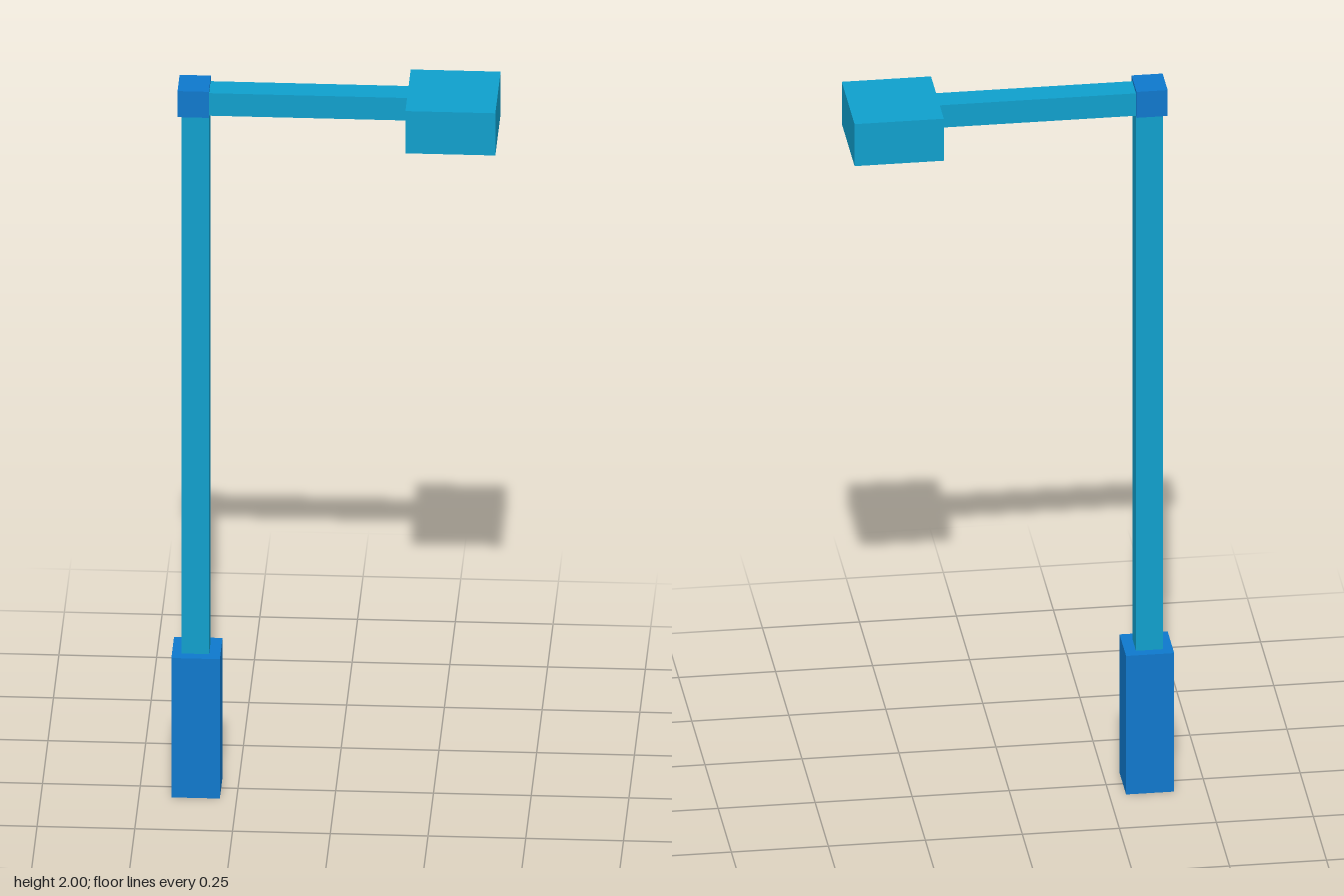
import * as THREE from 'three';

const teal = new THREE.MeshStandardMaterial({ color: 0x0f9fcc });
const blue = new THREE.MeshStandardMaterial({ color: 0x0e78cc });
const yellow = new THREE.MeshStandardMaterial({ color: 0xf2c53d });

// Box given by its lower and upper limits on each axis
function block(name, material, [x0, x1], [y0, y1], [z0, z1]) {
  const mesh = new THREE.Mesh(new THREE.BoxGeometry(x1 - x0, y1 - y0, z1 - z0), material);
  mesh.position.set((x0 + x1) / 2, (y0 + y1) / 2, (z0 + z1) / 2);
  mesh.name = name;
  return mesh;
}

function rectangle(target, w, d) {
  target.moveTo(-w / 2, -d / 2);
  target.lineTo(w / 2, -d / 2);
  target.lineTo(w / 2, d / 2);
  target.lineTo(-w / 2, d / 2);
  target.closePath();
  return target;
}

// Lamp housing: four walls around an opening, a roof and a light panel
function createLampHead() {
  const head = new THREE.Group();
  head.name = 'lampHead';
  const w = 0.23, d = 0.243, wall = 0.028, wallHeight = 0.1;

  const frame = rectangle(new THREE.Shape(), w, d);
  frame.holes.push(rectangle(new THREE.Path(), w - 2 * wall, d - 2 * wall));
  const geometry = new THREE.ExtrudeGeometry(frame, { depth: wallHeight, bevelEnabled: false });
  geometry.rotateX(-Math.PI / 2);
  const walls = new THREE.Mesh(geometry, teal);
  walls.name = 'lampWalls';

  head.add(
    walls,
    block('lampRoof', teal, [-w / 2, w / 2], [wallHeight, 0.12], [-d / 2, d / 2]),
    block('lightPanel', yellow, [-0.06, 0.06], [0.09, wallHeight], [-0.06, 0.06])
  );
  head.position.set(0.3, 1.875, -0.001);
  return head;
}

export function createModel() {
  const model = new THREE.Group();
  model.name = 'streetLamp';
  model.add(
    block('base', blue, [-0.417, -0.293], [0, 0.396], [-0.062, 0.062]),
    block('pole', teal, [-0.392, -0.322], [0.396, 1.926], [-0.036, 0.034]),
    block('cornerJoint', blue, [-0.402, -0.322], [1.926, 2], [-0.048, 0.047]),
    block('arm', teal, [-0.322, 0.187], [1.926, 1.99], [-0.036, 0.034]),
    createLampHead()
  );
  return model;
}
